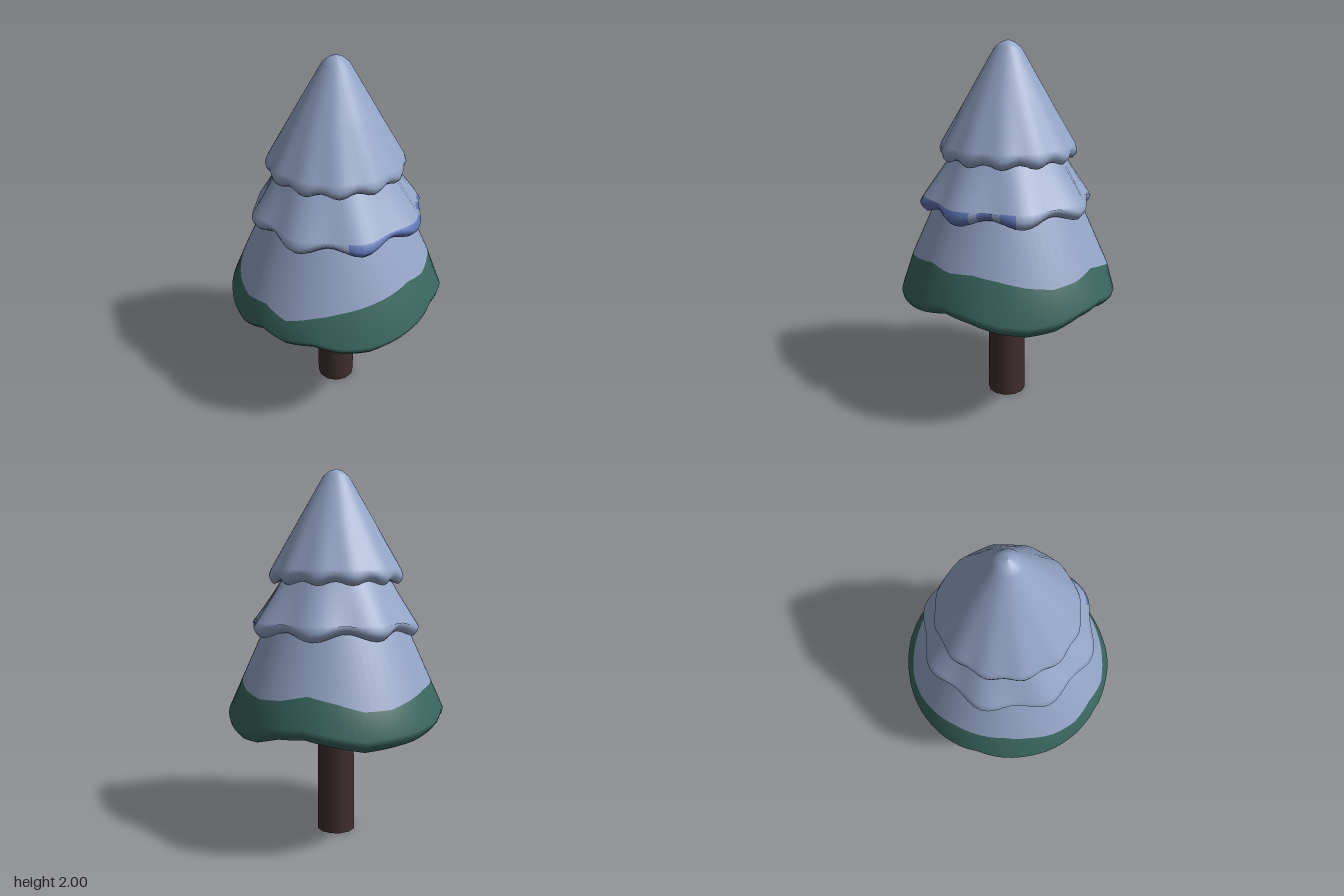
import * as THREE from 'three';

const SEGS = 72;
const mat = (name, color, side = THREE.FrontSide) => {
  const m = new THREE.MeshStandardMaterial({ color, side });
  m.name = name;
  return m;
};

// Heights every 15 degrees, starting at the front and turning towards +x
const skirtRim = [.63, .65, .61, .60, .62, .65, .68, .66, .62, .60, .61, .65,
  .66, .63, .60, .61, .62, .64, .67, .65, .63, .60, .60, .66];
const snowLine = [.78, .82, .85, .87, .89, .91, .89, .90, .88, .85, .83, .84,
  .87, .84, .80, .80, .83, .86, .87, .88, .86, .82, .80, .82];

function sample(table, deg) {
  const t = deg / 15, i = Math.floor(t), f = t - i, n = table.length;
  return table[i % n] * (1 - f) + table[(i + 1) % n] * f;
}

// Shell made of rings: profile(deg) lists [radius, y] from top to rim,
// paint(row, deg) picks the material index of each cell
function shell(name, profile, materials, paint) {
  const pos = [], rows = profile(0).length;
  const cells = materials.map(() => []);
  for (let j = 0; j < SEGS; j++) {
    const deg = j * 360 / SEGS, a = deg * Math.PI / 180;
    for (const [r, y] of profile(deg)) pos.push(r * Math.sin(a), y, r * Math.cos(a));
  }
  for (let j = 0; j < SEGS; j++) {
    const k = (j + 1) % SEGS;
    for (let i = 0; i < rows - 1; i++) {
      const a = j * rows + i, d = k * rows + i;
      cells[paint(i, (j + 0.5) * 360 / SEGS)].push(a, a + 1, d + 1, a, d + 1, d);
    }
  }
  const geo = new THREE.BufferGeometry();
  geo.setAttribute('position', new THREE.Float32BufferAttribute(pos, 3));
  geo.setIndex(cells.flat());
  let start = 0;
  cells.forEach((c, m) => {
    geo.addGroup(start, c.length, m);
    start += c.length;
  });
  geo.computeVertexNormals();
  const mesh = new THREE.Mesh(geo, materials);
  mesh.name = name;
  return mesh;
}

export function createModel() {
  const snow = mat('snow', 0x93a4c6, THREE.DoubleSide);
  const needles = mat('greenNeedles', 0x3a665f, THREE.DoubleSide);
  const shade = mat('blueSnow', 0x6076b6, THREE.DoubleSide);
  const bark = mat('bark', 0x3f2e2e);
  const tree = new THREE.Group();
  tree.name = 'snowyTree';
  const wave = (deg, n) => Math.cos(n * deg * Math.PI / 180);

  // Trunk, leaning very slightly
  const trunk = new THREE.Mesh(new THREE.CylinderGeometry(0.1, 0.107, 1, 12), bark);
  trunk.name = 'trunk';
  trunk.position.set(0.003, 0.5, 0.006);
  tree.add(trunk);

  // Lowest tier: snow above, green hem with a ragged rim
  const coneR = y => 0.4 + (1.14 - y) * 0.452;
  tree.add(shell('lowerTier', deg => {
    const rim = sample(skirtRim, deg), line = sample(snowLine, deg);
    const flare = rim + 0.06;
    const r = Math.min(coneR(flare), 0.593);
    return [[0, 1.6], [0.235, 1.5], [0.4, 1.14], [coneR(line), line],
      [r, flare], [r - 0.008, rim + 0.03], [r - 0.035, rim]];
  }, [snow, needles], row => (row < 3 ? 0 : 1)));

  // Middle tier: eight scallops, with a blue patch along part of the hem
  const patches = [[33, 102], [107, 117], [122, 130]];
  tree.add(shell('middleTier', deg => {
    const w = wave(deg, 8), rim = 1.14 - 0.02 * w;
    const r = 0.45 + 0.018 * w + 0.012 * Math.sin(deg * Math.PI / 180);
    return [[0, 1.58], [0.23, 1.52], [0.3, 1.41], [r - 0.018, 1.2],
      [r, rim + 0.045], [r - 0.01, rim + 0.02], [r - 0.03, rim], [r - 0.05, rim + 0.01]];
  }, [snow, shade], (row, deg) =>
    (row >= 3 && row < 6 && patches.some(([a, b]) => deg > a && deg < b) ? 1 : 0)));

  // Top tier: rounded tip and a softly rolled hem
  tree.add(shell('topTier', deg => {
    const w = wave(deg, 12), rim = 1.405 - 0.011 * w;
    const r = 0.362 + 0.006 * w;
    return [[0, 2], [0.035, 1.988], [0.07, 1.96], [0.21, 1.72], [r - 0.012, 1.475],
      [r, rim + 0.045], [r - 0.006, rim + 0.02], [r - 0.025, rim], [0.295, rim + 0.015]];
  }, [snow], () => 0));

  return tree;
}
